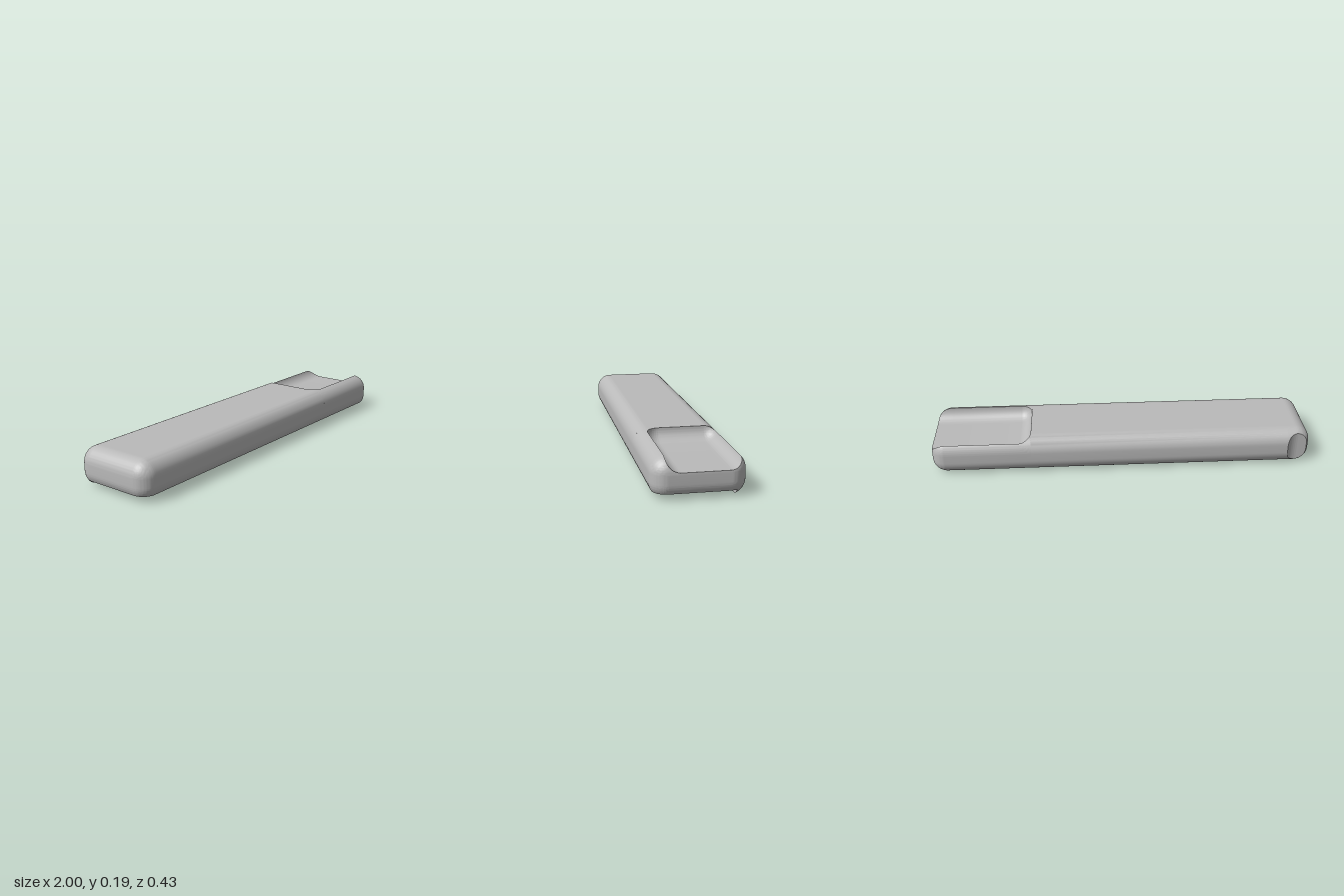
import * as THREE from 'three';
import { toCreasedNormals } from 'three/addons/utils/BufferGeometryUtils.js';

// Rounded bar: core box grown by radius R
const R = 0.078, CORE_X = 0.922, CORE_Z = 0.139, Y_LOW = 0.073, Y_HIGH = 0.115;
// Top recess, open at the +x end, with filleted floor
const REC_X = 0.48, REC_R = 0.066, REC_FRONT = 0.086, REC_BACK = -0.134, REC_TOP = 0.193;
// Flat underside, with a lip along the back edge
const UNDER_Y = 0.03, LIP_Z = -0.167;
// Thumb notch in the back corner at the -x end
const NOTCH_Z = -0.19, NOTCH_X = -0.935;
const NOTCH_LEN = Math.sqrt(R ** 2 - (R - 0.217 - NOTCH_Z) ** 2);

const arc = (r, d) => Math.sqrt(Math.max(0, r * r - d * d));
const STEPS = 16;

// Points spaced closer together towards both ends of a span
function span(a, b, height) {
  const out = [];
  for (let i = 0; i <= STEPS; i++) {
    const z = a + (b - a) * (1 - Math.cos((Math.PI * i) / STEPS)) / 2;
    out.push([z, height(z)]);
  }
  return out;
}

function bisect(inside, outside, test) {
  for (let i = 0; i < 40; i++) {
    const m = (inside + outside) / 2;
    if (test(m)) inside = m; else outside = m;
  }
  return inside;
}

function notchLimit(x) {
  if (x <= NOTCH_X) return NOTCH_Z;
  const d = x - NOTCH_X;
  return d > NOTCH_LEN ? -1 : NOTCH_Z - (R - arc(R, d));
}

// Closed outline [z, y] of the bar at one x
function section(x) {
  const r = arc(R, Math.max(0, Math.abs(x) - CORE_X));
  const front = CORE_Z + r;
  const back = Math.max(-front, notchLimit(x));
  const bulge = z => arc(r, Math.max(0, Math.abs(z) - CORE_Z));
  const bodyTop = z => Y_HIGH + bulge(z);
  const bodyLow = z => Y_LOW - bulge(z);

  // Recess outline at this x
  const hasRecess = x >= REC_X;
  const cr = hasRecess ? arc(REC_R, Math.max(0, REC_X + REC_R - x)) : 0;
  const cut = z => {
    const d = Math.max(0, z - REC_FRONT, REC_BACK - z);
    return !hasRecess || d > cr ? 9 : REC_TOP - arc(cr, d);
  };
  const top = z => Math.min(bodyTop(z), cut(z));
  const carved = z => bodyTop(z) > cut(z);
  let edgeF = CORE_Z, edgeB = -CORE_Z;
  if (hasRecess) {
    edgeF = bisect(REC_FRONT, Math.min(REC_FRONT + cr, front), carved);
    edgeB = bisect(REC_BACK, Math.max(REC_BACK - cr, back), carved);
  }

  const lip = Math.max(back, LIP_Z);
  const underEdge = CORE_Z + arc(r, Math.min(r, Y_LOW - UNDER_Y));
  const under = z => Math.max(bodyLow(z), UNDER_Y);
  return [
    ...span(front, edgeF, top), ...span(edgeF, REC_FRONT, top),
    ...span(REC_FRONT, REC_BACK, top),
    ...span(REC_BACK, edgeB, top), ...span(edgeB, back, top),
    ...span(back, lip, bodyLow), ...span(lip, underEdge, under), ...span(underEdge, front, under),
  ];
}

// Stations along the length, dense in the curved zones
function stations() {
  const xs = [REC_X - 0.0002, NOTCH_X, NOTCH_X + NOTCH_LEN + 0.0002];
  const N = 18;
  for (let i = 0; i <= N; i++) {
    const a = (i / N) * Math.PI / 2;
    xs.push(CORE_X + R * Math.sin(a), -CORE_X - R * Math.sin(a));
    xs.push(REC_X + REC_R * (1 - Math.cos(a)));
    xs.push(NOTCH_X + NOTCH_LEN * i / N);
  }
  // Where the end rounding meets the notch, underside and recess floor
  for (const rr of [-NOTCH_Z - CORE_Z, Y_LOW - UNDER_Y, 0.012, -LIP_Z - CORE_Z]) {
    const d = arc(R, rr);
    xs.push(CORE_X + d, -CORE_X - d);
  }
  xs.sort((a, b) => a - b);
  return xs.filter((x, i) => i === 0 || x - xs[i - 1] > 1e-5);
}

function barGeometry() {
  const rows = stations().map(x => section(x).map(([z, y]) => new THREE.Vector3(x, y, z)));
  const pos = [];
  const ab = new THREE.Vector3(), ac = new THREE.Vector3();
  const tri = (a, b, c) => {
    ab.subVectors(b, a);
    ac.subVectors(c, a);
    if (ab.cross(ac).length() < 1e-11) return;
    for (const p of [a, b, c]) pos.push(p.x, p.y, p.z);
  };
  const n = rows[0].length;
  for (let i = 0; i < rows.length - 1; i++) {
    for (let j = 0; j < n; j++) {
      const k = (j + 1) % n, p = rows[i], q = rows[i + 1];
      tri(p[j], q[j], q[k]);
      tri(p[j], q[k], p[k]);
    }
  }
  // Flat end faces
  const first = rows[0], last = rows[rows.length - 1];
  const mid = x => new THREE.Vector3(x, (Y_LOW + Y_HIGH) / 2, 0);
  const c0 = mid(first[0].x), c1 = mid(last[0].x);
  for (let j = 0; j < n; j++) {
    const k = (j + 1) % n;
    tri(c0, first[j], first[k]);
    tri(c1, last[k], last[j]);
  }
  const g = new THREE.BufferGeometry();
  g.setAttribute('position', new THREE.Float32BufferAttribute(pos, 3));
  return toCreasedNormals(g, 0.45);
}

export function createModel() {
  const grey = new THREE.MeshStandardMaterial({ color: 0xbababa });
  grey.name = 'plain grey';
  const bar = new THREE.Mesh(barGeometry(), grey);
  bar.name = 'recessedBar';
  const group = new THREE.Group();
  group.name = 'roundedBar';
  group.add(bar);
  return group;
}
